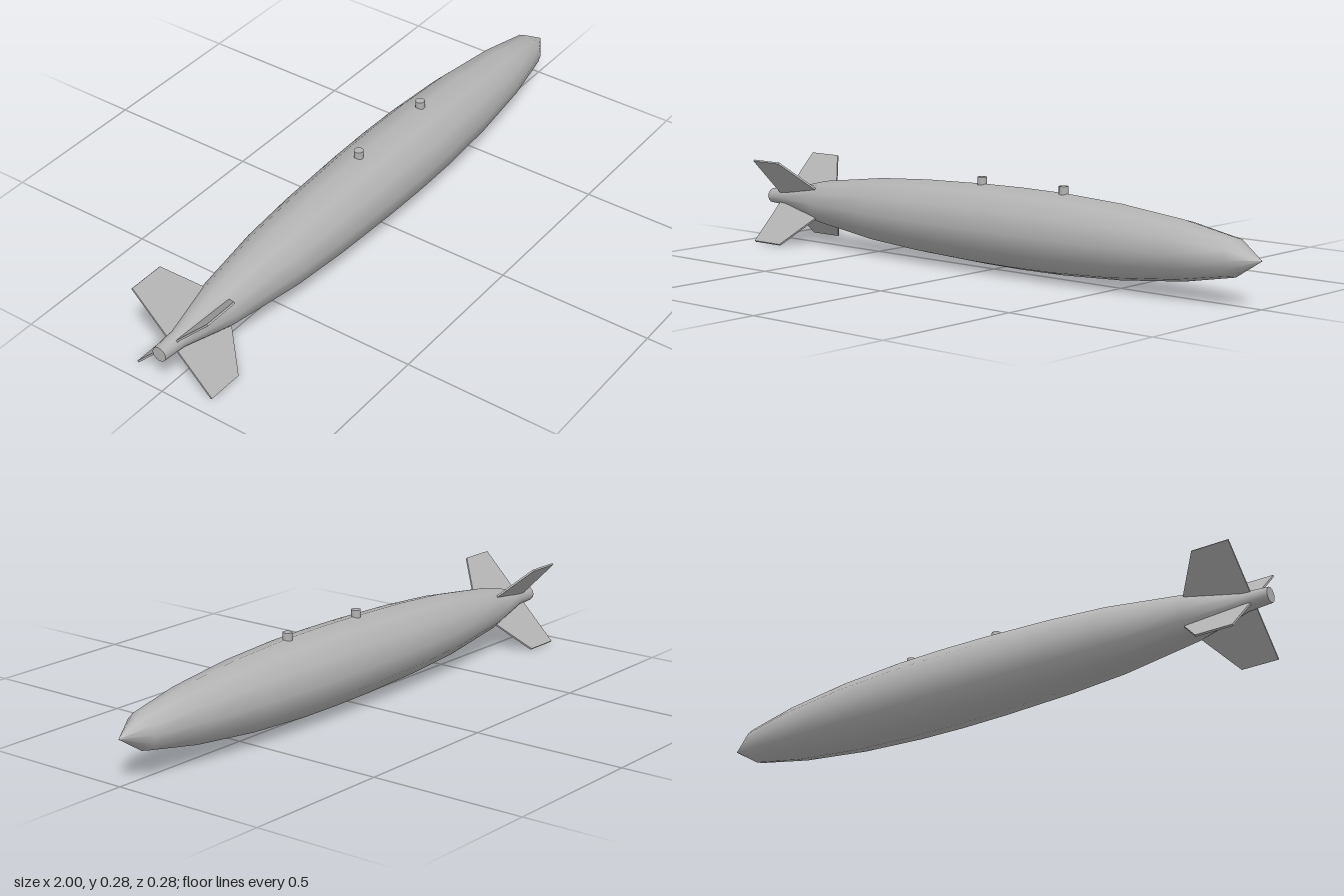
import * as THREE from 'three';

const AXIS_Y = 0.139; // height of the body's long axis

export function createModel() {
  const model = new THREE.Group();
  const grey = new THREE.MeshStandardMaterial({ color: 0xb3b3b3 });
  grey.name = 'plainGrey';

  const add = (name, geometry) => {
    const mesh = new THREE.Mesh(geometry, grey);
    mesh.name = name;
    model.add(mesh);
    return mesh;
  };

  // Twelve-sided body: [radius, position along x] from tail to nose
  const profile = [
    [0.024, -1], [0.029, -0.92], [0.071, -0.745], [0.104, -0.48], [0.117, -0.28],
    [0.125, -0.04], [0.127, 0.12], [0.125, 0.28], [0.114, 0.5], [0.09, 0.73],
    [0.057, 0.91], [0, 1],
  ].map(([r, x]) => new THREE.Vector2(r, x));
  const body = new THREE.LatheGeometry(profile, 12);
  body.rotateZ(-Math.PI / 2);
  add('body', body).position.y = AXIS_Y;

  // Flat tail end
  const cap = new THREE.CircleGeometry(0.024, 12);
  cap.rotateY(-Math.PI / 2);
  add('tailCap', cap).position.set(-1, AXIS_Y, 0);

  // Four swept fins, set diagonally around the tail
  const outline = new THREE.Shape([
    [-0.945, 0.01], [-0.745, 0.01], [-0.745, 0.073], [-0.825, 0.192], [-0.945, 0.192],
  ].map(([x, r]) => new THREE.Vector2(x, r)));
  const thickness = 0.006;
  const finGeometry = new THREE.ExtrudeGeometry(outline, { depth: thickness, bevelEnabled: false });
  finGeometry.translate(0, 0, -thickness / 2);
  for (let i = 0; i < 4; i++) {
    const fin = add('tailFin' + (i + 1), finGeometry);
    fin.position.y = AXIS_Y;
    fin.rotation.x = Math.PI / 4 + i * Math.PI / 2;
  }

  // Two mounting lugs on top
  const lugGeometry = new THREE.CylinderGeometry(0.015, 0.015, 0.045, 12);
  [['rearLug', -0.05], ['frontLug', 0.278]].forEach(([name, x]) => {
    add(name, lugGeometry).position.set(x, 0.2625, 0);
  });

  return model;
}
